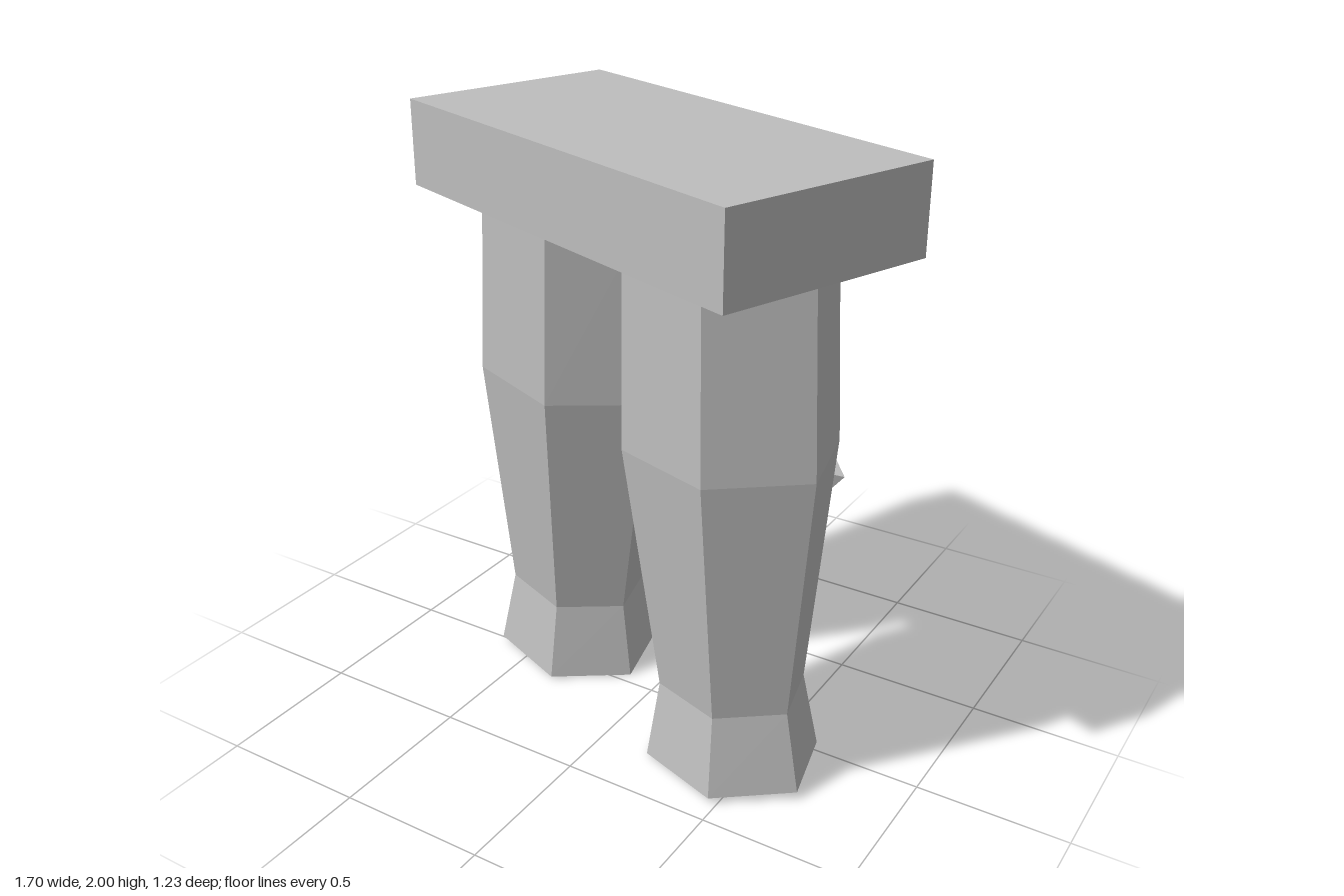
import * as THREE from 'three';

const grey = new THREE.MeshStandardMaterial({ color: 0xbebebe, flatShading: true });
grey.name = 'stone grey';

// Leg rings from top to sole: height, distance from the middle, half width, half depth
const RINGS = [
  [1.74, 0.369, 0.353, 0.298],
  [1.11, 0.39, 0.37, 0.316],
  [0.281, 0.423, 0.262, 0.224],
  [0.015, 0.434, 0.312, 0.272],
];
const SPLAY = 0.04; // rings rise slightly towards the outside

function add(parent, name, geometry, x = 0, y = 0, z = 0) {
  const mesh = new THREE.Mesh(geometry, grey);
  mesh.name = name;
  mesh.position.set(x, y, z);
  parent.add(mesh);
  return mesh;
}

// Six-sided leg shaped by the rings; side is +1 for left, -1 for right
function legGeometry(side) {
  const g = new THREE.CylinderGeometry(1, 1, 3, 6, 3, false, Math.PI / 2);
  const p = g.attributes.position;
  for (let i = 0; i < p.count; i++) {
    const [y, offset, rx, rz] = RINGS[Math.round(1.5 - p.getY(i))];
    const x = p.getX(i) * rx;
    p.setXYZ(i, side * offset + x, y + side * SPLAY * x, p.getZ(i) * rz);
  }
  g.computeVertexNormals();
  return g;
}

// Pointed eight-faced stud
const stud = (w, h, d) => new THREE.OctahedronGeometry(1).scale(w, h, d);

export function createModel() {
  const model = new THREE.Group();
  model.name = 'leggedSlab';
  const body = new THREE.Group();
  body.name = 'body';
  body.rotation.y = -THREE.MathUtils.degToRad(20);
  model.add(body);

  // Slab across the top with a stud on its back
  add(body, 'slab', new THREE.BoxGeometry(1.537, 0.28, 0.745), 0, 1.86, 0);
  add(body, 'slabStud', stud(0.13, 0.115, 0.055), 0, 1.862, -0.395);

  // Legs, each with a stud behind the knee
  for (const [side, name] of [[1, 'left'], [-1, 'right']]) {
    add(body, name + 'Leg', legGeometry(side));
    add(body, name + 'LegStud', stud(0.185, 0.21, 0.082), side * 0.4, 0.985, -0.295);
  }
  return model;
}
